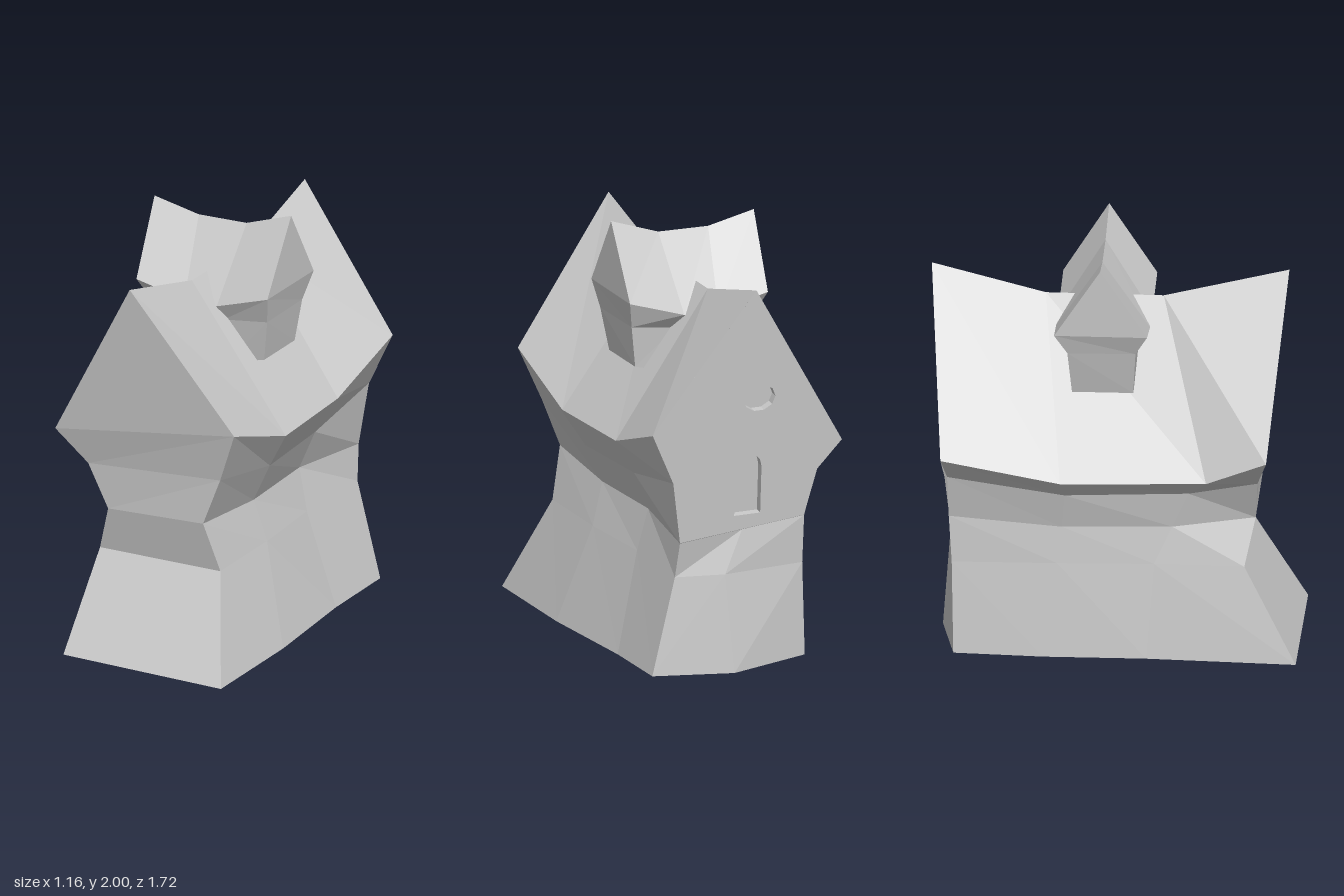
import * as THREE from 'three';

const material = new THREE.MeshStandardMaterial({
  color: 0xcccccc, flatShading: true, side: THREE.DoubleSide,
});

// Turns a list of quads and triangles (corners counter-clockwise) into a faceted mesh
function facetMesh(name, faces) {
  const pos = [];
  for (const [a, b, c, d] of faces) {
    pos.push(...a, ...b, ...c);
    if (d) pos.push(...a, ...c, ...d);
  }
  const geo = new THREE.BufferGeometry();
  geo.setAttribute('position', new THREE.Float32BufferAttribute(pos, 3));
  geo.computeVertexNormals();
  const mesh = new THREE.Mesh(geo, material);
  mesh.name = name;
  return mesh;
}

// A section has left and right edges (l, r) listed from base to eave, and a peak p
function wallFaces(sections) {
  const faces = [];
  for (let s = 0; s < sections.length - 1; s++) {
    const A = sections[s], B = sections[s + 1];
    for (let i = 0; i < A.l.length - 1; i++) {
      faces.push([A.l[i], A.l[i + 1], B.l[i + 1], B.l[i]]);
      faces.push([A.r[i + 1], A.r[i], B.r[i], B.r[i + 1]]);
    }
    faces.push([A.r[0], A.l[0], B.l[0], B.r[0]]); // underside
  }
  return faces;
}

function roofFaces(sections) {
  const faces = [];
  for (let s = 0; s < sections.length - 1; s++) {
    const A = sections[s], B = sections[s + 1], e = A.l.length - 1;
    faces.push([A.l[e], A.p, B.p, B.l[e]], [A.p, A.r[e], B.r[e], B.p]);
  }
  return faces;
}

// Gabled end wall facing forward; flip it for the far end
function gableFaces({ l, r, p }, flip = false) {
  const faces = [];
  for (let i = 0; i < l.length - 1; i++) faces.push([l[i], r[i], r[i + 1], l[i + 1]]);
  faces.push([l.at(-1), r.at(-1), p]);
  return flip ? faces.map((f) => f.reverse()) : faces;
}

// Crooked house, sections from front to back
const house = [
  {
    l: [[-0.25, 0.01, 0.86], [-0.22, 0.47, 0.615], [-0.145, 0.69, 0.655], [-0.24, 0.9, 0.68], [-0.38, 1.06, 0.745]],
    r: [[0.58, 0, 0.77], [0.41, 0.47, 0.54], [0.355, 0.71, 0.6], [0.445, 0.94, 0.59], [0.55, 1.19, 0.625]],
    p: [0.065, 1.85, 0.775],
  },
  {
    l: [[-0.3, 0.01, 0.17], [-0.26, 0.47, 0.2], [-0.23, 0.65, 0.28], [-0.25, 0.83, 0.36], [-0.355, 0.93, 0.46]],
    r: [[0.505, 0, 0.18], [0.355, 0.47, 0.1], [0.3, 0.67, 0.13], [0.385, 0.855, 0.12], [0.49, 1.03, 0.14]],
    p: [0, 1.705, 0.2],
  },
  {
    l: [[-0.36, 0.01, -0.3], [-0.33, 0.47, -0.24], [-0.32, 0.65, -0.22], [-0.37, 0.83, -0.2], [-0.475, 0.93, -0.2]],
    r: [[0.39, 0, -0.39], [0.275, 0.47, -0.32], [0.225, 0.67, -0.33], [0.3, 0.855, -0.35], [0.4, 1.03, -0.39]],
    p: [-0.06, 1.705, -0.34],
  },
  {
    l: [[-0.41, 0.02, -0.71], [-0.395, 0.47, -0.72], [-0.4, 0.7, -0.733], [-0.46, 0.92, -0.73], [-0.58, 1.05, -0.74]],
    r: [[0.35, 0.01, -0.79], [0.235, 0.47, -0.77], [0.22, 0.64, -0.8], [0.26, 0.94, -0.825], [0.37, 1.19, -0.86]],
    p: [-0.13, 1.845, -0.86],
  },
];

// Dormer crossing the ridge, sections from front eave side named l/r along its own length
const dormer = [
  {
    l: [[-0.275, 1.31, -0.18], [-0.34, 1.53, -0.19], [-0.38, 1.63, -0.245]],
    r: [[-0.24, 1.31, 0.1], [-0.295, 1.53, 0.12], [-0.33, 1.63, 0.18]],
    p: [-0.38, 1.965, -0.03],
  },
  {
    l: [[-0.12, 1.28, -0.21], [-0.14, 1.5, -0.23], [-0.13, 1.575, -0.28]],
    r: [[-0.08, 1.28, 0.08], [-0.09, 1.5, 0.1], [-0.08, 1.575, 0.15]],
    p: [-0.15, 1.915, -0.06],
  },
  {
    l: [[0.06, 1.28, -0.22], [0.06, 1.5, -0.24], [0.04, 1.575, -0.3]],
    r: [[0.1, 1.28, 0.06], [0.1, 1.5, 0.09], [0.09, 1.575, 0.13]],
    p: [0.1, 1.92, -0.09],
  },
  {
    l: [[0.26, 1.33, -0.245], [0.285, 1.53, -0.27], [0.31, 1.66, -0.325]],
    r: [[0.295, 1.33, 0.04], [0.33, 1.53, 0.065], [0.36, 1.66, 0.105]],
    p: [0.335, 2, -0.115],
  },
];

// Leaning plane of the upper back wall
const backZ = (x, y) => -0.86 - 0.1135 * (x - 0.37) - 0.087 * (y - 1.19);

function onBackWall(name, shape, inset = 0) {
  const geo = new THREE.ShapeGeometry(shape);
  const pos = geo.attributes.position, index = geo.index;
  for (let i = 0; i < pos.count; i++) pos.setZ(i, backZ(pos.getX(i), pos.getY(i)) + inset);
  for (let i = 0; i < index.count; i += 3) { // face backwards
    const a = index.getX(i);
    index.setX(i, index.getX(i + 1));
    index.setX(i + 1, a);
  }
  geo.computeVertexNormals();
  const mesh = new THREE.Mesh(geo, material);
  mesh.name = name;
  return mesh;
}

function createBackWall() {
  const group = new THREE.Group();
  group.name = 'backWall';
  const { l, r, p } = house[3];
  const v = ([x, y]) => new THREE.Vector2(x, y);
  const wall = new THREE.Shape([...l.slice(2), p, ...r.slice(2).reverse()].map(v));

  // Round window and arched window, both recessed
  const round = [], arch = [[-0.18, 0.74], [-0.05, 0.74]];
  for (let i = 0; i < 10; i++) {
    const a = (i / 10) * Math.PI * 2;
    round.push([-0.16 + 0.08 * Math.cos(a), 1.31 + 0.065 * Math.sin(a)]);
  }
  for (let i = 0; i <= 6; i++) {
    const a = (i / 6) * Math.PI;
    arch.push([-0.115 + 0.065 * Math.cos(a), 0.97 + 0.07 * Math.sin(a)]);
  }
  const depth = 0.05;
  for (const [name, pts] of [['roundWindow', round], ['archedWindow', arch]]) {
    wall.holes.push(new THREE.Path(pts.map(v)));
    group.add(onBackWall(name, new THREE.Shape(pts.map(v)), depth));
    const at = ([x, y], d) => [x, y, backZ(x, y) + d];
    group.add(facetMesh(name + 'Reveal', pts.map((a, i) => {
      const b = pts[(i + 1) % pts.length];
      return [at(a, 0), at(a, depth), at(b, depth), at(b, 0)];
    })));
  }
  group.add(onBackWall('upperBackWall', wall));

  // Lower part, slightly folded down the middle
  const fold = [[-0.036, 0, -0.825], [0, 0.47, -0.795], [-0.09, 0.67, -0.766]];
  const faces = [[l[0], r[0], fold[0]]];
  for (let i = 0; i < 2; i++) {
    faces.push([r[i], fold[i], fold[i + 1], r[i + 1]]);
    faces.push([fold[i], l[i], l[i + 1], fold[i + 1]]);
  }
  group.add(facetMesh('lowerBackWall', faces));
  return group;
}

export function createModel() {
  const model = new THREE.Group();
  model.name = 'crookedHouse';
  model.add(
    facetMesh('sideWalls', wallFaces(house)),
    facetMesh('frontWall', gableFaces(house[0])),
    createBackWall(),
    facetMesh('mainRoof', roofFaces(house)),
  );

  // The dormer runs along x, so its faces wind the other way
  const flip = (faces) => faces.map((f) => [...f].reverse());
  const cross = new THREE.Group();
  cross.name = 'dormer';
  cross.add(
    facetMesh('dormerWalls', flip(wallFaces(dormer))),
    facetMesh('dormerRoof', flip(roofFaces(dormer))),
    facetMesh('dormerRightGable', gableFaces(dormer[0], true)),
    facetMesh('dormerLeftGable', gableFaces(dormer[3])),
  );
  // Left-to-right along +x with l behind and r in front: end caps mirror too
  for (const name of ['dormerRightGable', 'dormerLeftGable']) {
    const geo = cross.getObjectByName(name).geometry, pos = geo.attributes.position;
    const a = new THREE.Vector3(), b = new THREE.Vector3();
    for (let i = 0; i < pos.count; i += 3) {
      a.fromBufferAttribute(pos, i);
      b.fromBufferAttribute(pos, i + 1);
      pos.setXYZ(i, b.x, b.y, b.z);
      pos.setXYZ(i + 1, a.x, a.y, a.z);
    }
    geo.computeVertexNormals();
  }
  model.add(cross);
  return model;
}
